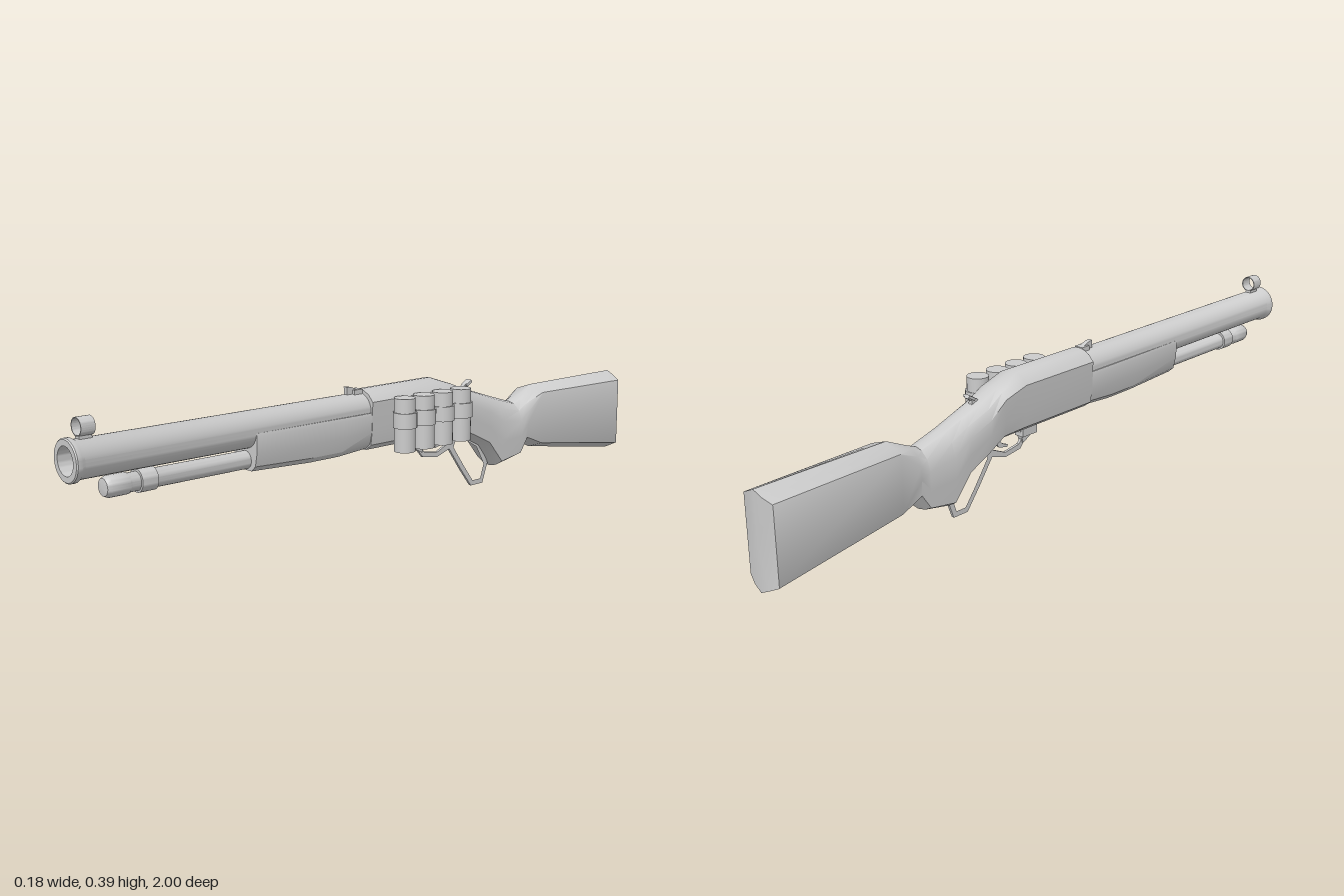
import * as THREE from 'three';
import { toCreasedNormals } from 'three/addons/utils/BufferGeometryUtils.js';

const AXIS_X = -0.033;
const material = new THREE.MeshStandardMaterial({ color: 0xcccccc });
const openMaterial = new THREE.MeshStandardMaterial({ color: 0xcccccc, side: THREE.DoubleSide });

// Half cross-sections, top to bottom: [fraction of half width, fraction of height]
const RECEIVER = [[0, 1], [0.35, 0.985], [0.7, 0.93], [1, 0.82], [0.95, 0.35], [0.85, 0.1], [0.45, 0], [0, 0]];
const WRIST = [[0, 1], [0.4, 0.97], [0.78, 0.86], [1, 0.68], [1, 0.4], [0.97, 0.1], [0.5, 0.03], [0, 0]];
const STOCK = [[0, 1], [0.5, 0.95], [0.98, 0.902], [1, 0.89], [1, 0.11], [0.98, 0.098], [0.5, 0.05], [0, 0]];
const FOREND = [[0, 1], [0.5, 1], [0.96, 1], [1, 0.92], [0.97, 0.5], [0.8, 0.14], [0.48, 0], [0, 0]];

// Mirrored loft through stations [z, top, bottom, halfWidth, profile, bow], front to back
function loft(stations) {
  const pos = [], index = [];
  for (const [z, top, bottom, hw, profile, bow = 0] of stations) {
    const mirrored = profile.slice(1, -1).reverse().map(([x, y]) => [-x, y]);
    for (const [x, y] of [...profile, ...mirrored]) {
      pos.push(x * hw, bottom + y * (top - bottom), z + bow * x * x);
    }
  }
  const n = stations[0][4].length * 2 - 2;
  for (let i = 0; i < stations.length - 1; i++) {
    for (let j = 0; j < n; j++) {
      const a = i * n + j, b = i * n + (j + 1) % n;
      index.push(a, b, a + n, b, b + n, a + n);
    }
  }
  // End caps
  [0, stations.length - 1].forEach((s, end) => {
    const [z, top, bottom] = stations[s];
    const center = pos.length / 3;
    pos.push(0, (top + bottom) / 2, z);
    for (let j = 0; j < n; j++) {
      const a = s * n + j, b = s * n + (j + 1) % n;
      if (end) index.push(center, a, b);
      else index.push(center, b, a);
    }
  });
  const geo = new THREE.BufferGeometry();
  geo.setAttribute('position', new THREE.Float32BufferAttribute(pos, 3));
  geo.setIndex(index);
  return toCreasedNormals(geo, 0.6);
}

// Turned part along z from [radius, z] points
function turned(points, segments = 32) {
  const geo = new THREE.LatheGeometry(points.map(([r, z]) => new THREE.Vector2(r, z)), segments);
  return toCreasedNormals(geo.rotateX(Math.PI / 2), 0.6);
}

// Flat plate cut from a side outline of [z, y] points
function plate(outline, width, hole) {
  const toVectors = (pts) => pts.map(([z, y]) => new THREE.Vector2(-z, y));
  const shape = new THREE.Shape(toVectors(outline));
  if (hole) shape.holes.push(new THREE.Path(toVectors(hole)));
  const geo = new THREE.ExtrudeGeometry(shape, { depth: width, bevelEnabled: false });
  return geo.translate(0, 0, -width / 2).rotateY(Math.PI / 2);
}

export function createModel() {
  const model = new THREE.Group();
  const gun = new THREE.Group();
  gun.name = 'gun';
  gun.position.x = AXIS_X;
  model.add(gun);

  const add = (name, geometry, x = 0, y = 0, z = 0, parent = gun, mat = material) => {
    const mesh = new THREE.Mesh(geometry, mat);
    mesh.name = name;
    mesh.position.set(x, y, z);
    parent.add(mesh);
    return mesh;
  };

  // Receiver, grip and stock in one flowing body
  add('receiverAndStock', loft([
    [0.1, 0.352, 0.185, 0.055, RECEIVER],
    [-0.17, 0.353, 0.185, 0.055, RECEIVER],
    [-0.245, 0.328, 0.185, 0.055, RECEIVER],
    [-0.3, 0.307, 0.16, 0.054, WRIST],
    [-0.375, 0.282, 0.122, 0.053, WRIST],
    [-0.43, 0.264, 0.05, 0.053, WRIST],
    [-0.515, 0.238, 0.068, 0.053, WRIST],
    [-0.545, 0.25, 0.115, 0.053, WRIST],
    [-0.61, 0.28, 0.082, 0.055, STOCK],
    [-1, 0.28, 0.02, 0.055, STOCK, 0.012],
  ]));

  add('forend', loft([
    [0.49, 0.292, 0.19, 0.05, FOREND],
    [0.3, 0.292, 0.182, 0.052, FOREND],
    [0.2, 0.292, 0.182, 0.053, FOREND],
    [0.09, 0.292, 0.19, 0.053, FOREND],
  ]));

  // Barrel with flared muzzle and open bore
  add('barrel', turned([[0, 0.05], [0.048, 0.05], [0.048, 0.975], [0.054, 0.985], [0.054, 0.997],
    [0.051, 1], [0.036, 1], [0.036, 0.85], [0, 0.85]], 40), 0, 0.295, 0);

  // Magazine tube with rounded cap and collar
  add('magazineTube', turned([[0, 0.45], [0.024, 0.45], [0.024, 0.84], [0.027, 0.845],
    [0.027, 0.895], [0.022, 0.906], [0, 0.91]], 28), 0, 0.217, 0);
  add('magazineCollar', turned([[0.02, 0.77], [0.03, 0.77], [0.03, 0.815], [0.02, 0.815]], 28), 0, 0.218, 0);

  // Ring front sight
  add('frontSightRing', turned([[0.0205, 0.93], [0.023, 0.93], [0.023, 0.968], [0.0205, 0.968], [0.0205, 0.93]], 28),
    0, 0.371, 0, gun, openMaterial);
  add('frontSightBase', new THREE.BoxGeometry(0.018, 0.014, 0.034), 0, 0.344, 0.949);

  // Rear sight: wedge leaf with notch posts
  add('rearSight', plate([[0.15, 0.34], [0.15, 0.364], [0.135, 0.362], [0.11, 0.352], [0.09, 0.34]], 0.014));
  add('rearSightBase', new THREE.BoxGeometry(0.028, 0.016, 0.03), 0, 0.346, 0.115);

  // Hammer
  add('hammer', plate([[-0.285, 0.295], [-0.308, 0.312], [-0.332, 0.327], [-0.338, 0.318],
    [-0.322, 0.308], [-0.325, 0.285]], 0.012));
  add('hammerSpur', new THREE.BoxGeometry(0.022, 0.007, 0.024), 0, 0.318, -0.326).rotation.x = 0.55;

  // Lever: mount, guard strand and finger loop
  add('leverMount', new THREE.BoxGeometry(0.03, 0.032, 0.055), 0, 0.173, -0.115);
  add('leverPivot', plate([[-0.095, 0.175], [-0.11, 0.15], [-0.135, 0.138], [-0.145, 0.175]], 0.016));
  add('leverGuard', plate([[-0.1, 0.17], [-0.142, 0.122], [-0.2, 0.114], [-0.265, 0.135],
    [-0.262, 0.155], [-0.2, 0.128], [-0.148, 0.136], [-0.118, 0.17]], 0.008));
  add('leverLoop', plate(
    [[-0.255, 0.165], [-0.315, 0.167], [-0.38, 0.13], [-0.417, 0.062], [-0.395, 0.002],
      [-0.345, 0.002], [-0.3, 0.06], [-0.25, 0.13]],
    0.008,
    [[-0.275, 0.148], [-0.312, 0.15], [-0.367, 0.119], [-0.4, 0.06], [-0.385, 0.017],
      [-0.352, 0.017], [-0.314, 0.067], [-0.268, 0.132]]));
  add('trigger', plate([[-0.215, 0.2], [-0.222, 0.17], [-0.212, 0.157], [-0.19, 0.148], [-0.192, 0.142],
    [-0.222, 0.148], [-0.24, 0.168], [-0.24, 0.2]], 0.008));

  // Spare shells in loops along the left side
  const shells = new THREE.Group();
  shells.name = 'spareShells';
  model.add(shells);
  for (let i = 0; i < 4; i++) {
    const z = 0.01 - i * 0.0735;
    add('shell', new THREE.CylinderGeometry(0.03, 0.03, 0.15, 24), 0.053, 0.253, z, shells);
    add('shellLoop', new THREE.CylinderGeometry(0.0335, 0.0335, 0.043, 24), 0.0545, 0.267, z, shells);
  }
  return model;
}
